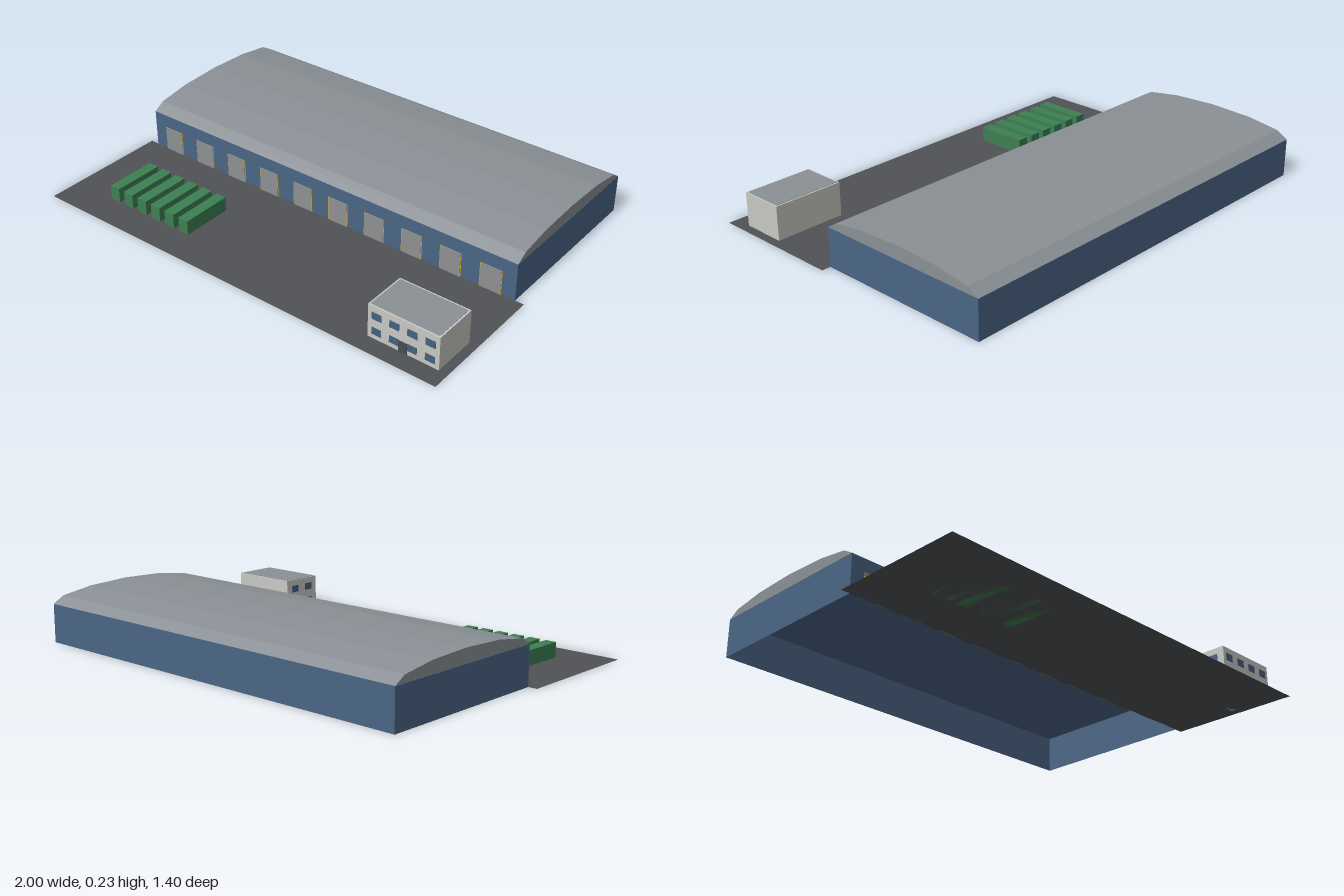
import * as THREE from 'three';

const mat = (name, color, side = THREE.FrontSide) => {
  const m = new THREE.MeshStandardMaterial({ color, side });
  m.name = name;
  return m;
};

export function createModel() {
  const blue = mat('wallBlue', 0x4a6585, THREE.DoubleSide);
  const grey = mat('roofGrey', 0x8a9095);
  const doorGrey = mat('doorGrey', 0x8e9092);
  const asphalt = mat('asphalt', 0x505255, THREE.DoubleSide);
  const green = mat('containerGreen', 0x3c8052);
  const cream = mat('officeWall', 0xc8c9c4);
  const glass = mat('windowBlue', 0x46617f);
  const dark = mat('entranceDark', 0x4a4c50);
  const yellow = mat('frameYellow', 0xd9a520);

  const model = new THREE.Group();
  const add = (parent, name, geometry, material, x = 0, y = 0, z = 0) => {
    const mesh = new THREE.Mesh(geometry, material);
    mesh.name = name;
    mesh.position.set(x, y, z);
    parent.add(mesh);
    return mesh;
  };
  const box = (parent, name, w, h, d, material, x, y, z) =>
    add(parent, name, new THREE.BoxGeometry(w, h, d), material, x, y, z);
  const group = (name) => {
    const g = new THREE.Group();
    g.name = name;
    model.add(g);
    return g;
  };

  // Paved yard
  add(model, 'yard', new THREE.PlaneGeometry(2, 0.6).rotateX(-Math.PI / 2), asphalt, 0, 0, 0.4);

  // Warehouse walls and ceiling, open underneath
  const hall = group('warehouse');
  const L = 1.92, D = 0.8, H = 0.17, zc = -0.3;
  for (const s of [-1, 1]) {
    const long = add(hall, 'longWall', new THREE.PlaneGeometry(L, H), blue, 0, H / 2, zc + s * D / 2);
    if (s < 0) long.rotation.y = Math.PI;
    add(hall, 'endWall', new THREE.PlaneGeometry(D, H), blue, s * L / 2, H / 2, zc).rotation.y = s * Math.PI / 2;
  }
  add(hall, 'ceiling', new THREE.PlaneGeometry(L, D).rotateX(-Math.PI / 2), blue, 0, H, zc);

  // Faceted arched roof, extruded along x
  const half = [[0.4, 0.17], [0.35, 0.2], [0.2, 0.222]];
  const profile = [...half, [0, 0.23], ...half.slice().reverse().map(([z, y]) => [-z, y])];
  const arch = new THREE.Shape(profile.map(([z, y]) => new THREE.Vector2(z, y + 0.001)));
  const roof = add(hall, 'roof',
    new THREE.ExtrudeGeometry(arch, { depth: L, bevelEnabled: false }), grey, L / 2, 0, zc);
  roof.rotation.y = -Math.PI / 2;
  roof.scale.x = 1;

  // Loading doors with slim yellow frames
  for (let i = 0; i < 10; i++) {
    const x = (i - 4.5) * 0.188;
    box(hall, 'doorFrame', 0.102, 0.11, 0.002, yellow, x, 0.055, 0.101);
    box(hall, 'loadingDoor', 0.096, 0.111, 0.004, doorGrey, x, 0.0555, 0.102);
  }

  // Row of containers
  const containers = group('containers');
  for (let i = 0; i < 6; i++)
    box(containers, 'container', 0.05, 0.066, 0.235, green, -0.763 + i * 0.08, 0.033, 0.438);

  // Office building
  const office = group('office');
  box(office, 'officeBody', 0.32, 0.15, 0.2, cream, 0.8, 0.075, 0.52);
  box(office, 'officeRoof', 0.306, 0.002, 0.186, grey, 0.8, 0.1505, 0.52);
  box(office, 'entrance', 0.038, 0.05, 0.005, dark, 0.8, 0.025, 0.621);
  for (const y of [0.036, 0.106]) {
    for (let i = 0; i < 4; i++)
      box(office, 'frontWindow', 0.044, 0.032, 0.003, glass, 0.68 + i * 0.08, y, 0.62);
    for (const z of [0.475, 0.565])
      box(office, 'sideWindow', 0.003, 0.032, 0.044, glass, 0.64, y, z);
  }
  return model;
}
